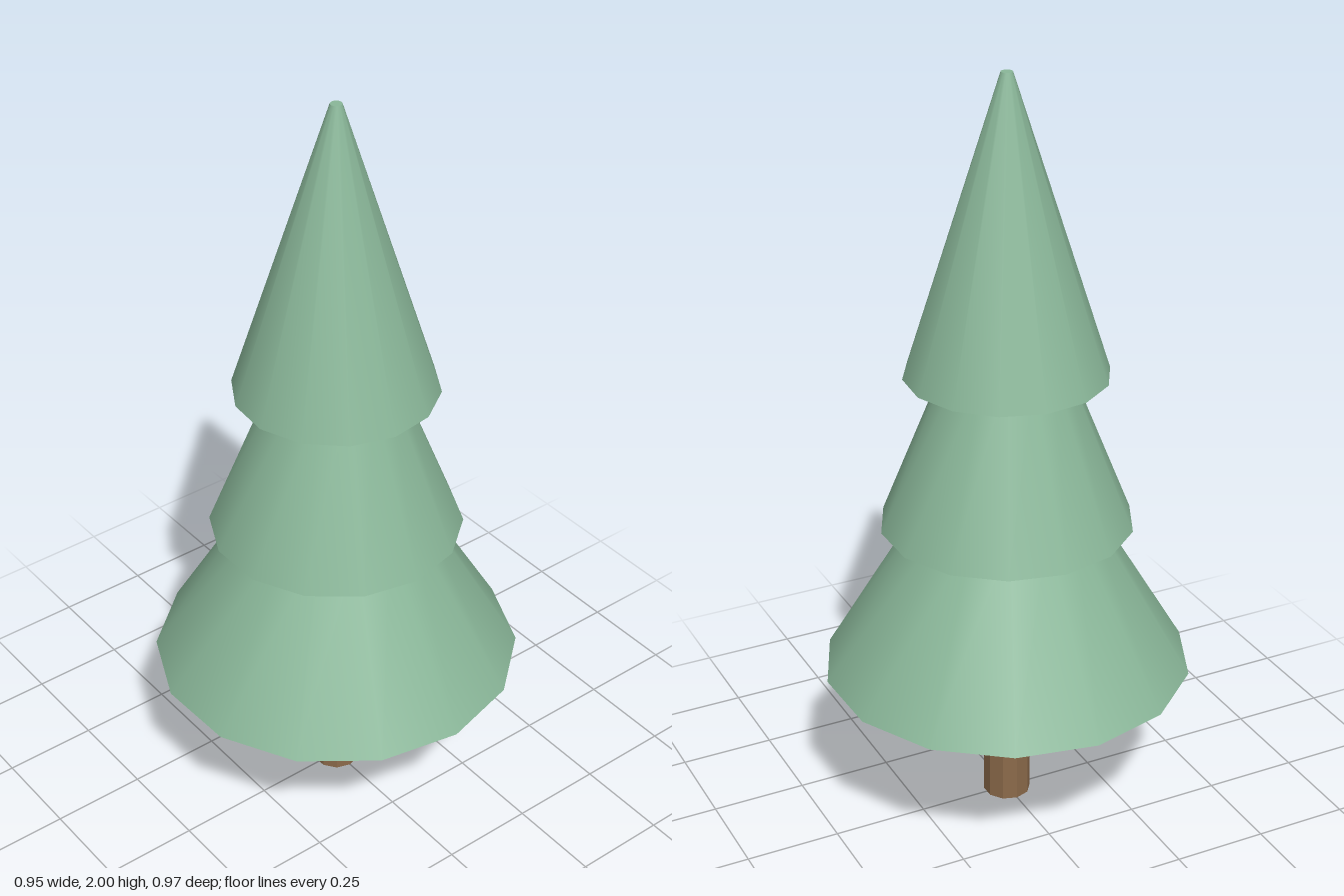
import * as THREE from 'three';

export function createModel() {
  const tree = new THREE.Group();
  tree.name = 'pineTree';
  const leaf = new THREE.MeshStandardMaterial({ color: 0x8ab799 });
  const bark = new THREE.MeshStandardMaterial({ color: 0x8b6a4a, flatShading: true });

  // Tapered section standing between two heights
  function section(name, material, y0, y1, r0, r1, sides, turn = 0) {
    const geometry = new THREE.CylinderGeometry(r1, r0, y1 - y0, sides, 1, false, turn);
    const mesh = new THREE.Mesh(geometry, material);
    mesh.name = name;
    mesh.position.y = (y0 + y1) / 2;
    tree.add(mesh);
  }

  // Trunk, reaching just inside the lowest tier
  section('trunk', bark, 0, 0.45, 0.063, 0.063, 10);

  // Foliage tiers, each tucked slightly into the one above
  section('lowerFoliage', leaf, 0.41, 0.87, 0.483, 0.21, 14, 0.03);
  section('middleFoliage', leaf, 0.82, 1.28, 0.328, 0.144, 14);
  section('upperFoliage', leaf, 1.23, 2, 0.262, 0.015, 14, -0.085);

  return tree;
}
